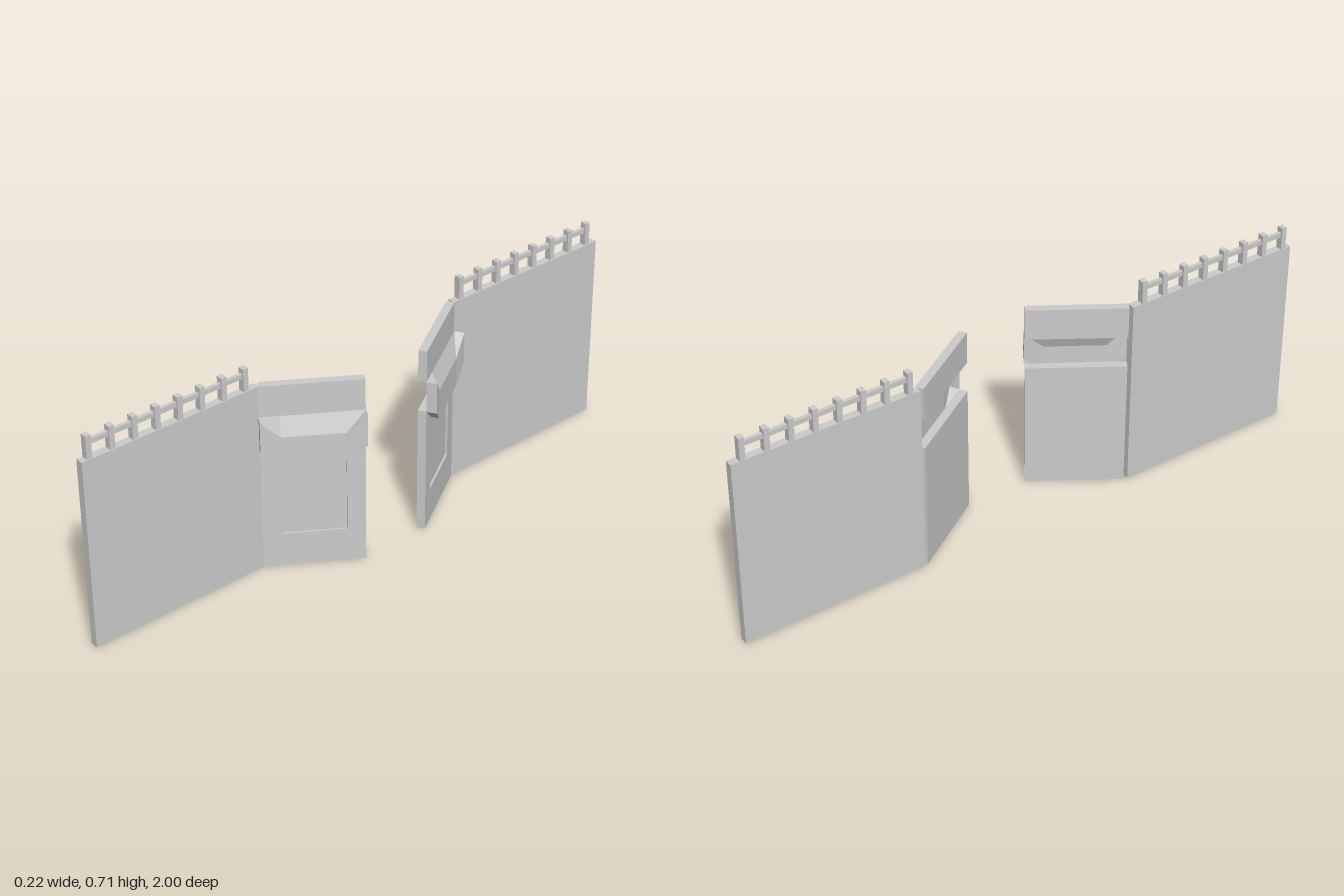
import * as THREE from 'three';

const grey = new THREE.MeshStandardMaterial({ color: 0xcccccc, side: THREE.DoubleSide, flatShading: true });

function add(parent, name, geometry, x = 0, y = 0, z = 0) {
  const mesh = new THREE.Mesh(geometry, grey);
  mesh.name = name;
  mesh.position.set(x, y, z);
  parent.add(mesh);
  return mesh;
}

// Box given by its limits on each axis
function slab(parent, name, x0, x1, y0, y1, z0, z1) {
  const g = new THREE.BoxGeometry(x1 - x0, y1 - y0, z1 - z0);
  return add(parent, name, g, (x0 + x1) / 2, (y0 + y1) / 2, (z0 + z1) / 2);
}

// Hollow hood: cross-sections lofted along x, open towards the slot at the back
function hoodGeometry() {
  const section = (x, depth, backTop, frontTop, bottom) => [
    [x, backTop, 0], [x, frontTop, depth], [x, bottom, depth], [x, bottom, 0],
  ];
  const sections = [
    section(-0.159, 0.033, 0.535, 0.535, 0.43),
    section(-0.097, 0.024, 0.535, 0.475, 0.375),
    section(0.097, 0.024, 0.535, 0.475, 0.375),
    section(0.159, 0.033, 0.535, 0.535, 0.43),
  ];
  const n = 4;
  const index = [];
  for (let s = 0; s < sections.length - 1; s++) {
    for (let i = 0; i < n - 1; i++) {
      const a = s * n + i, b = a + 1, c = a + n, d = c + 1;
      index.push(a, b, c, b, d, c);
    }
  }
  // End caps
  const e = (sections.length - 1) * n;
  index.push(0, 2, 1, 0, 3, 2, e, e + 1, e + 2, e, e + 2, e + 3);
  const g = new THREE.BufferGeometry();
  g.setAttribute('position', new THREE.Float32BufferAttribute(sections.flat(2), 3));
  g.setIndex(index);
  const flat = g.toNonIndexed();
  flat.computeVertexNormals();
  return flat;
}

// Front skin of the lower panel with the recessed field cut out
function frameGeometry(half, height, depth) {
  const shape = new THREE.Shape([
    new THREE.Vector2(-half, 0), new THREE.Vector2(half, 0),
    new THREE.Vector2(half, height), new THREE.Vector2(-half, height),
  ]);
  shape.holes.push(new THREE.Path([
    new THREE.Vector2(-0.1, 0.115), new THREE.Vector2(-0.1, 0.375),
    new THREE.Vector2(0.1, 0.375), new THREE.Vector2(0.1, 0.115),
  ]));
  return new THREE.ExtrudeGeometry(shape, { depth, bevelEnabled: false });
}

// Angled panel with a full-width slot and a hood in front of it
function createPanel(name) {
  const panel = new THREE.Group();
  panel.name = name;
  const half = 0.157, recess = 0.007, back = -0.027;
  slab(panel, 'lowerPanelBack', -half, half, 0, 0.43, back, -recess);
  add(panel, 'lowerPanelFrame', frameGeometry(half, 0.43, recess), 0, 0, -recess);
  slab(panel, 'upperPanel', -half, half, 0.535, 0.64, back, 0);
  add(panel, 'hood', hoodGeometry());
  return panel;
}

// Straight wall with a post-and-rail fence along its top
function createWall(name, z0, z1, firstPost) {
  const wall = new THREE.Group();
  wall.name = name;
  slab(wall, 'wallSlab', -0.113, -0.087, 0, 0.64, z0, z1);
  const count = 8, step = 0.078;
  for (let i = 0; i < count; i++) {
    const z = firstPost + i * step;
    slab(wall, 'fencePost', -0.112, -0.09, 0.64, 0.715, z - 0.009, z + 0.009);
  }
  slab(wall, 'fenceRail', -0.107, -0.095, 0.682, 0.698, firstPost, firstPost + (count - 1) * step);
  return wall;
}

export function createModel() {
  const model = new THREE.Group();
  model.name = 'gateWalls';

  model.add(createWall('leftWall', 0.382, 1, 0.425));
  model.add(createWall('rightWall', -1, -0.382, -0.961));

  for (const side of [1, -1]) {
    const panel = createPanel(side > 0 ? 'frontPanel' : 'rearPanel');
    panel.position.set(-0.002, 0, side * 0.252);
    panel.rotation.y = side > 0 ? 1 : Math.PI - 1;
    model.add(panel);
  }
  return model;
}
